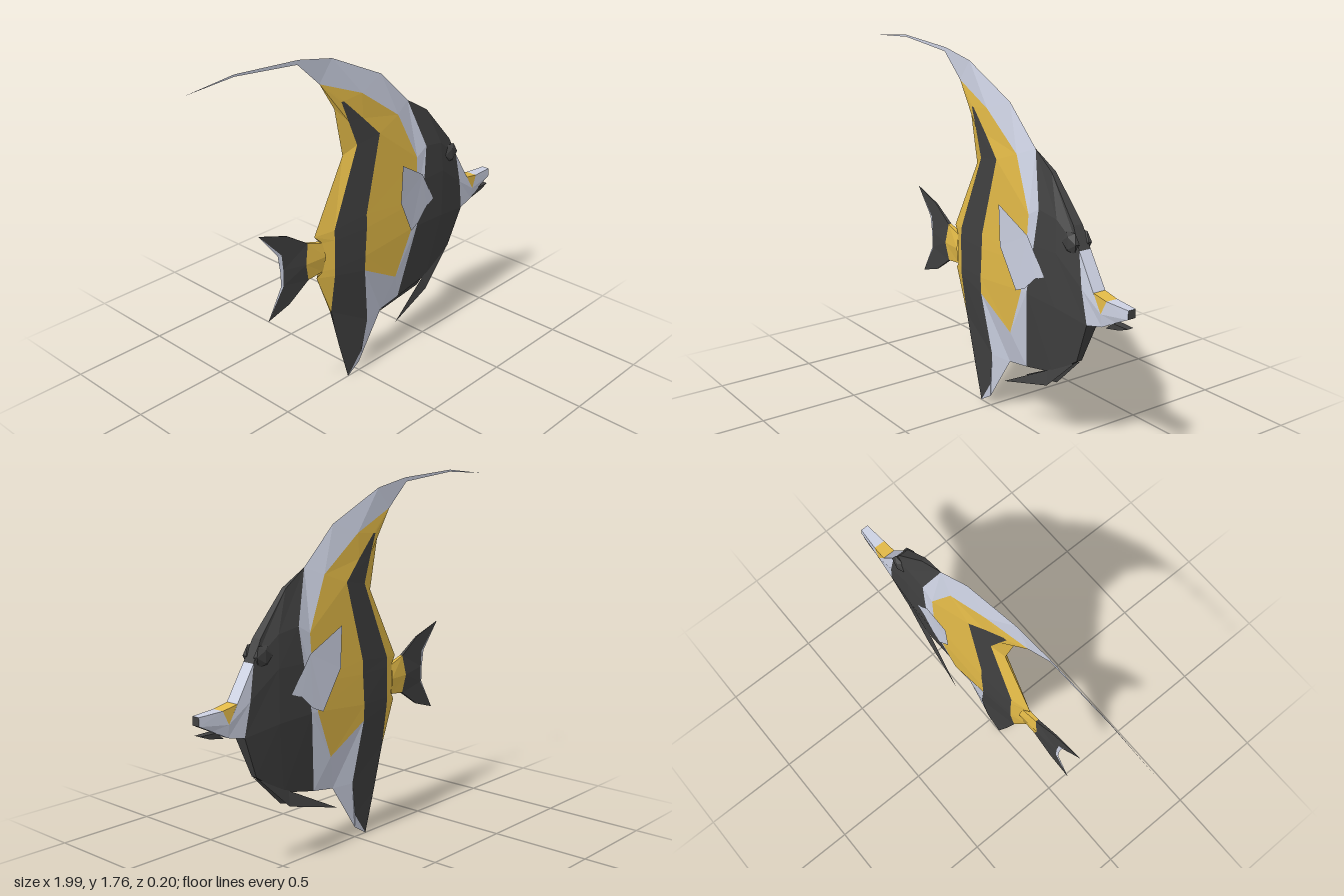
import * as THREE from 'three';

const mat = (name, color) => Object.assign(new THREE.MeshStandardMaterial({ color, flatShading: true, side: THREE.DoubleSide }), { name });

// Borders between colour bands, top to bottom: [x, y, half thickness]
const rearEdge = [[-.25, 1.6, 0], [-.16, 1.46, 0], [-.11, 1.22, 0], [-.3, .87, 0], [-.26, .83, .012], [-.26, .68, .012], [-.29, .65, 0], [-.2, .43, 0]];
const stripeRear = [[-.13, 1.49, .016], [-.09, 1.39, .02], [-.04, 1.26, .027], [-.2, .88, .033], [-.2, .83, .035], [-.2, .68, .035],
  [-.2, .64, .033], [-.2, .43, .004], [-.14, .2, 0], [-.08, 0, 0]];
const stripeFront = [[-.115, 1.49, .017], [0, 1.38, .028], [.1, 1.28, .04], [0, .9, .051], [0, .83, .053], [-.01, .68, .053],
  [-.01, .6, .05], [.04, .29, .02], [.01, .12, .01], [-.08, 0, 0]];
const yellowFront = [[-.25, 1.6, 0], [0, 1.5, .021], [.24, 1.33, .03], [.36, 1.08, .052], [.35, .85, .06], [.32, .71, .06], [.22, .47, .045]];
const headRear = [[.34, 1.37, 0], [.43, 1.12, .05], [.41, .95, .06], [.36, .71, .06], [.29, .31, 0]];
const headMid = [[.47, 1.29, .012], [.55, 1.1, .045], [.56, .95, .055], [.56, .7, .055], [.5, .36, .015]];
const headFront = [[.64, 1.09, .025], [.69, .99, .032], [.72, .83, .04], [.75, .67, .032], [.67, .47, .015]];
const topEdge = [[-.99, 1.74, 0], [-.73, 1.765, 0], [-.37, 1.74, 0], [-.17, 1.7, 0], [.15, 1.55, 0]];
const filamentUnder = [[-.99, 1.74, 0], [-.73, 1.755, 0], [-.38, 1.72, 0]];

// Snout sections: top, cheek, underside
const snout0 = headFront.slice(1, 4);
const snout1 = [[.79, .83, .033], [.84, .75, .034], [.84, .69, .025]];
const snout2 = [[.87, .815, .03], snout1[1], snout1[2]];
const snout3 = [[.995, .81, .02], [.995, .77, .022], [.925, .735, .02]];

// Tail sections
const tailFront = [[-.47, .94, .004], [-.35, .86, .008], [-.37, .76, .016], [-.35, .67, .008], [-.47, .59, .004]];
const tailRear = [[-.64, 1, 0], [-.51, .86, .004], [-.503, .78, .005], [-.503, .7, .004], [-.6, .55, 0]];
const tailTip = [[-.64, 1, 0], [-.53, .86, 0], [-.518, .78, 0], [-.515, .7, 0], [-.6, .55, 0]];

export function createModel() {
  const fish = new THREE.Group();
  fish.name = 'reefFish';
  const black = mat('charcoal', 0x414141);
  const white = mat('paleGrey', 0xcdd2e3);
  const yellow = mat('golden', 0xe4bb48);

  const V = p => new THREE.Vector3(...p);
  const flip = p => [p[0], p[1], -p[2]];

  // Adds a triangle turned to face the given direction
  function tri(out, a, b, c, dir) {
    const n = V(b).sub(V(a)).cross(V(c).sub(V(a)));
    if (n.length() < 1e-9) return;
    out.push(...a, ...(n.dot(V(dir)) < 0 ? [...c, ...b] : [...b, ...c]));
  }
  function quad(out, a, b, c, d, dir) {
    tri(out, a, b, c, dir);
    tri(out, a, c, d, dir);
  }
  // Skin between two borders, on both flanks
  function strip(out, A, B) {
    for (let i = 0; i < A.length - 1; i++) {
      const q = [A[i], A[i + 1], B[i + 1], B[i]];
      quad(out, ...q, [0, 0, 1]);
      quad(out, ...q.map(flip), [0, 0, -1]);
    }
  }
  // Closes an outline from one flank to the other
  function bridge(out, L, dir) {
    for (let i = 0; i < L.length - 1; i++) quad(out, L[i], L[i + 1], flip(L[i + 1]), flip(L[i]), dir);
  }
  function part(name, material, build) {
    const out = [];
    build(out);
    const g = new THREE.BufferGeometry();
    g.setAttribute('position', new THREE.Float32BufferAttribute(out, 3));
    g.computeVertexNormals();
    const m = new THREE.Mesh(g, material);
    m.name = name;
    fish.add(m);
  }

  // Body bands
  part('rearBand', yellow, o => strip(o, rearEdge, stripeRear.slice(0, 8)));
  part('bodyStripe', black, o => strip(o, stripeRear, stripeFront));
  part('middleBand', yellow, o => {
    strip(o, stripeFront.slice(0, 7), yellowFront);
    strip(o, [rearEdge[0], rearEdge[0]], [stripeRear[0], stripeFront[0]]);
  });
  part('dorsalFinAndFrontBand', white, o => strip(o,
    [...topEdge, ...headRear],
    [...filamentUnder, ...yellowFront]));
  part('bellyAndAnalFin', white, o => strip(o,
    [yellowFront[6], ...stripeFront.slice(6)],
    [headRear[4], [.16, .29, 0], [.16, .29, 0], [0, .05, 0], [-.08, 0, 0]]));

  // Head
  part('head', black, o => {
    strip(o, headRear, headMid);
    strip(o, headMid, headFront);
    bridge(o, [headRear[0], headMid[0], headFront[0], headFront[1]], [1, 1, 0]);
    bridge(o, [headRear[4], headMid[4], headFront[4], headFront[3]], [1, -1, 0]);
  });

  // Snout with saddle patch and mouth
  part('snout', white, o => {
    strip(o, snout0, snout1);
    strip(o, snout2, snout3);
    bridge(o, [snout0[0], snout1[0]], [1, 1, 0]);
    bridge(o, [snout2[0], snout3[0]], [0, 1, 0]);
    bridge(o, [snout0[2], snout1[2], snout3[2]], [0, -1, 0]);
  });
  part('snoutPatch', yellow, o => {
    strip(o, snout1, snout2);
    bridge(o, [snout1[0], snout2[0]], [0, 1, 0]);
  });
  part('mouth', black, o => bridge(o, snout3, [1, 0, 0]));
  part('lowerJaw', black, o => {
    const upper = [[.9, .725, .02], [.99, .725, .016]], lower = [[.86, .69, .02], [.94, .705, .018]];
    strip(o, upper, lower);
    bridge(o, upper, [0, 1, 0]);
    bridge(o, lower, [0, -1, 0]);
    bridge(o, [upper[1], lower[1]], [1, 0, 0]);
  });

  // Tail
  part('tailBase', yellow, o => {
    const root = [[-.26, .83, .012], [-.25, .76, .026], [-.26, .68, .012]];
    strip(o, tailFront.slice(1, 4), root);
    bridge(o, [tailFront[1], root[0]], [0, 1, 0]);
    bridge(o, [tailFront[3], root[2]], [0, -1, 0]);
  });
  part('tailFin', black, o => {
    strip(o, tailFront, tailRear);
    bridge(o, [tailRear[0], tailFront[0], tailFront[1]], [0, 1, 0]);
    bridge(o, [tailRear[4], tailFront[4], tailFront[3]], [0, -1, 0]);
  });
  part('tailTrim', white, o => strip(o, tailRear, tailTip));

  // Paired fins: thin sheets fanned from the first corner
  function fin(name, material, pts) {
    for (const s of [1, -1]) {
      part((s > 0 ? 'left' : 'right') + name, material, o => {
        const p = pts.map(([x, y, z]) => [x, y, z * s]);
        for (let i = 1; i < p.length - 1; i++) tri(o, p[0], p[i], p[i + 1], [0, 0, s]);
      });
    }
  }
  fin('PectoralFin', white, [[.38, .99, .072], [.2, 1.1, .1], [.2, .9, .092], [.3, .71, .075], [.36, .735, .07], [.43, .8, .064], [.485, .82, .058]]);
  fin('PelvicFin', black, [[.47, .36, .016], [.2, .22, .065], [.48, .29, .03], [.66, .46, .014]]);

  // Eyes
  for (const s of [1, -1]) {
    const eye = new THREE.Mesh(new THREE.IcosahedronGeometry(.055, 0), black);
    eye.name = s > 0 ? 'leftEye' : 'rightEye';
    eye.position.set(.635, 1.015, .034 * s);
    eye.scale.z = .4;
    fish.add(eye);
  }
  return fish;
}
